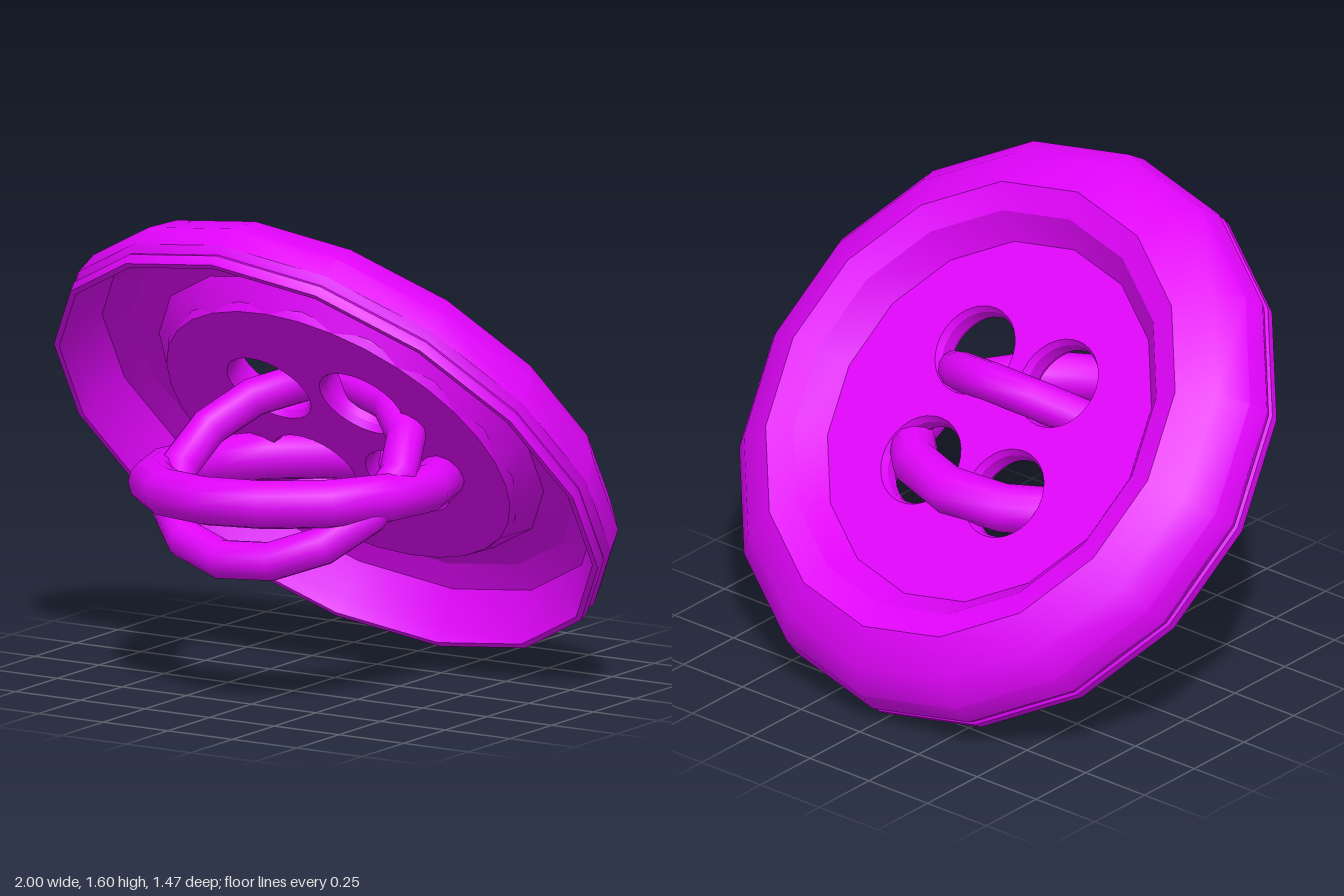
import * as THREE from 'three';
import { toCreasedNormals } from 'three/addons/utils/BufferGeometryUtils.js';

const SIDES = 16;
const FLOOR_BOTTOM = 0.09, FLOOR_TOP = 0.19, FLOOR_RADIUS = 0.625;

export function createModel() {
  const model = new THREE.Group();
  model.name = 'buttonWithRings';
  const material = new THREE.MeshStandardMaterial({ color: 0xe204fc });

  const add = (parent, name, geometry) => {
    const mesh = new THREE.Mesh(geometry, material);
    mesh.name = name;
    parent.add(mesh);
    return mesh;
  };

  // Button leaning back and rolled slightly to its left, built with its axis along local y
  const button = new THREE.Group();
  button.name = 'button';
  button.position.set(0, 0.746, 0.055);
  button.rotation.set(-0.853, -0.02, -0.05);
  model.add(button);

  // Rounded hollow rim: underside, outer edge, crown, then down into the well
  const profile = [
    [FLOOR_RADIUS, FLOOR_BOTTOM], [0.7, 0.185], [0.81, 0.205], [0.9, 0.17], [0.955, 0.05],
    [0.97, 0], [0.99, 0], [0.995, 0.035], [0.987, 0.045], [1.0, 0.075], [0.985, 0.158],
    [0.91, 0.25], [0.79, 0.308], [0.7, 0.28], [FLOOR_RADIUS, FLOOR_TOP],
  ].map(([r, y]) => new THREE.Vector2(r, y));
  add(button, 'rim', toCreasedNormals(new THREE.LatheGeometry(profile, SIDES), 0.5));

  // Flat floor with four thread holes, their edges chamfered
  const floor = new THREE.Shape().absarc(0, 0, FLOOR_RADIUS, 0, Math.PI * 2, false);
  for (const sx of [-1, 1]) {
    for (const sy of [-1, 1]) {
      floor.holes.push(new THREE.Path().absarc(sx * 0.185, sy * 0.2, 0.153, 0, Math.PI * 2, true));
    }
  }
  const chamfer = 0.025;
  const floorGeometry = new THREE.ExtrudeGeometry(floor, {
    depth: FLOOR_TOP - FLOOR_BOTTOM - 2 * chamfer, curveSegments: SIDES,
    bevelThickness: chamfer, bevelSize: 0.012, bevelSegments: 1,
  });
  floorGeometry.rotateX(-Math.PI / 2);
  floorGeometry.translate(0, FLOOR_BOTTOM + chamfer, 0);
  add(button, 'floor', toCreasedNormals(floorGeometry, 0.4));

  // Two rings, each threaded through a pair of holes
  const addRing = (name, radius, tube, position, rotation) => {
    const geometry = new THREE.TorusGeometry(radius, tube, 12, 14);
    geometry.rotateX(Math.PI / 2);
    const ring = add(model, name, geometry);
    ring.position.set(...position);
    ring.rotation.set(...rotation);
  };
  addRing('lowerHolesRing', 0.468, 0.08, [-0.02, 0.69, 0.198], [-0.02, 0.12, 0.03]);
  addRing('upperHolesRing', 0.405, 0.065, [0.01, 0.738, 0.293], [0.6435, 0.1, 0]);

  return model;
}
